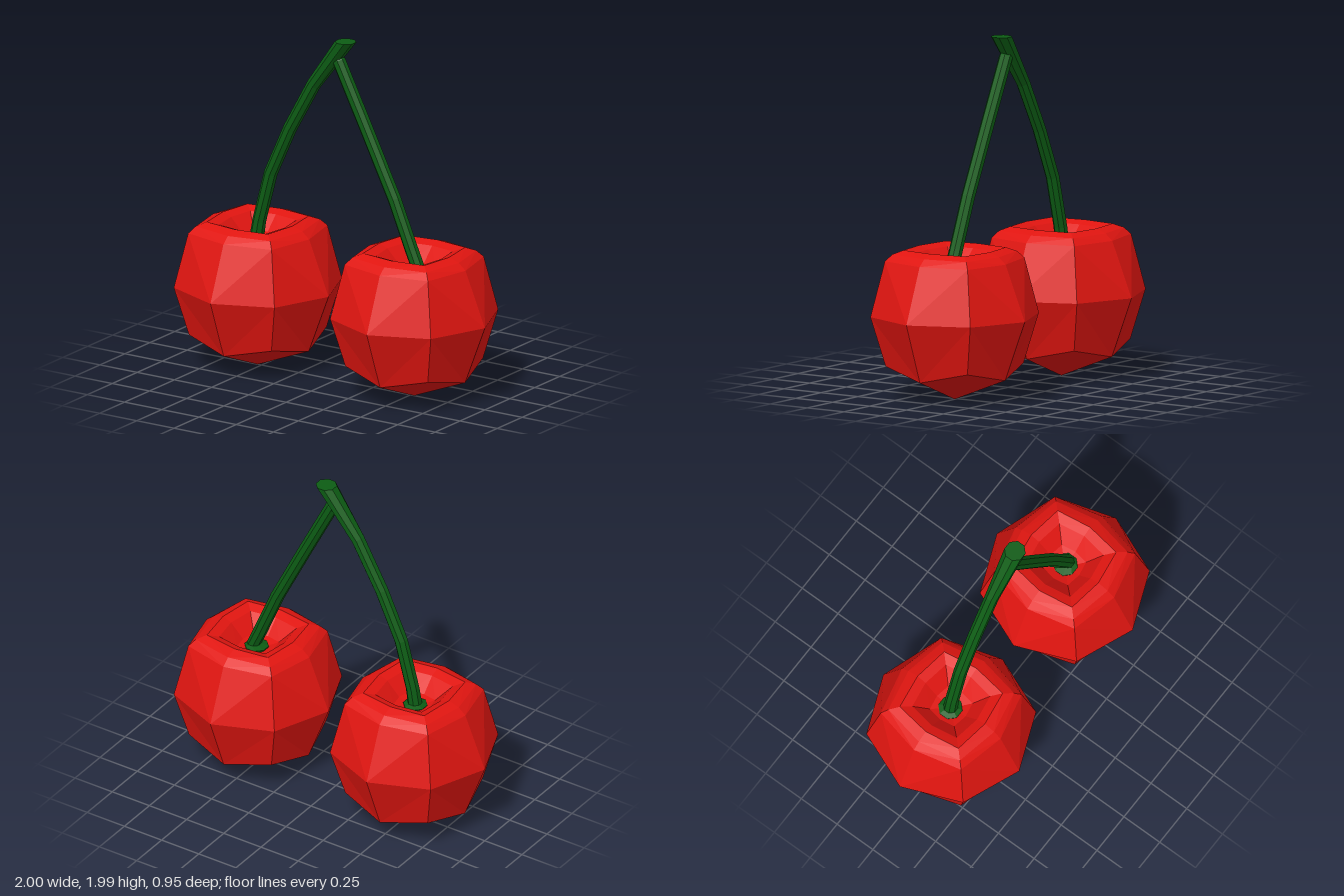
import * as THREE from 'three';

const SIDES = 8;

// Skin a stack of eight-point rings, ordered from bottom to top; point-like rings close the ends
function skin(rings, color, name) {
  const pos = [];
  const tri = (a, b, c) => {
    if (a.distanceTo(b) < 1e-5 || b.distanceTo(c) < 1e-5 || a.distanceTo(c) < 1e-5) return;
    for (const p of [a, b, c]) pos.push(p.x, p.y, p.z);
  };
  for (let i = 0; i < rings.length - 1; i++) {
    for (let j = 0; j < SIDES; j++) {
      const k = (j + 1) % SIDES;
      const [a, b, c, d] = [rings[i][j], rings[i + 1][j], rings[i + 1][k], rings[i][k]];
      // mirror the diagonal so that every quad folds symmetrically
      if (j % 2 === 0) { tri(a, b, c); tri(a, c, d); }
      else { tri(a, b, d); tri(b, c, d); }
    }
  }
  const geo = new THREE.BufferGeometry();
  geo.setAttribute('position', new THREE.Float32BufferAttribute(pos, 3));
  geo.computeVertexNormals();
  const mesh = new THREE.Mesh(geo, new THREE.MeshStandardMaterial({ color, flatShading: true }));
  mesh.name = name;
  return mesh;
}

// Fruit: blocky sphere with a dimpled top. Each row: reach on axes, offset of corners, height
const FRUIT = [
  [0, 0, 0], [0.342, 0.277, 0.135, 0.197], [0.475, 0.338, 0.477],
  [0.345, 0.28, 0.79], [0.3, 0.25, 0.828], [0.235, 0.205, 0.85],
  [0.18, 0.155, 0.83], [0.1, 0.085, 0.75], [0, 0, 0.72],
];

function fruit(x, name) {
  const rings = FRUIT.map(([axis, corner, y, cornerY = y]) =>
    Array.from({ length: SIDES }, (_, j) => {
      const a = (j * Math.PI) / 4;
      const odd = j % 2 === 1;
      const r = odd ? corner * Math.SQRT2 : axis;
      return new THREE.Vector3(Math.cos(a) * r, odd ? cornerY : y, Math.sin(a) * r);
    }));
  const mesh = skin(rings, 0xe01510, name);
  mesh.position.x = x;
  return mesh;
}

// Stem: octagonal tube along [x, y, half width] stations, cut level at its ends
function stem(stations, name) {
  const last = stations.length - 1;
  const rings = stations.map(([x, y, r], i) => {
    const p = stations[Math.max(i - 1, 0)], n = stations[Math.min(i + 1, last)];
    const level = i < 3 || i === last;
    const t = level ? new THREE.Vector2(0, 1) : new THREE.Vector2(n[0] - p[0], n[1] - p[1]).normalize();
    const R = r / Math.cos(Math.PI / 8);
    return Array.from({ length: SIDES }, (_, j) => {
      const a = ((j + 0.5) * Math.PI) / 4;
      const u = Math.cos(a) * R;
      return new THREE.Vector3(x + u * t.y, y - u * t.x, Math.sin(a) * R);
    });
  });
  const cap = ([x, y]) => Array.from({ length: SIDES }, () => new THREE.Vector3(x, y, 0));
  return skin([cap(stations[0]), ...rings, cap(stations[last])], 0x0c5c14, name);
}

export function createModel() {
  const group = new THREE.Group();
  group.name = 'cherries';
  group.add(fruit(0.525, 'leftFruit'), fruit(-0.525, 'rightFruit'));

  // long curved stem with a collar at the foot and a flared top
  group.add(stem([
    [-0.535, 0.715, 0.06], [-0.533, 0.745, 0.064], [-0.53, 0.755, 0.038],
    [-0.515, 0.845, 0.036], [-0.438, 1.135, 0.036], [-0.308, 1.42, 0.036],
    [-0.148, 1.705, 0.037], [0.065, 1.99, 0.056],
  ], 'longStem'));

  // shorter stem that joins the long one just below its top
  group.add(stem([
    [0.535, 0.715, 0.06], [0.533, 0.745, 0.064], [0.55, 0.755, 0.038],
    [0.51, 0.845, 0.036], [0.393, 1.125, 0.036], [0.207, 1.5, 0.036],
    [0.02, 1.87, 0.036], [0.005, 1.9, 0.025],
  ], 'shortStem'));
  return group;
}
